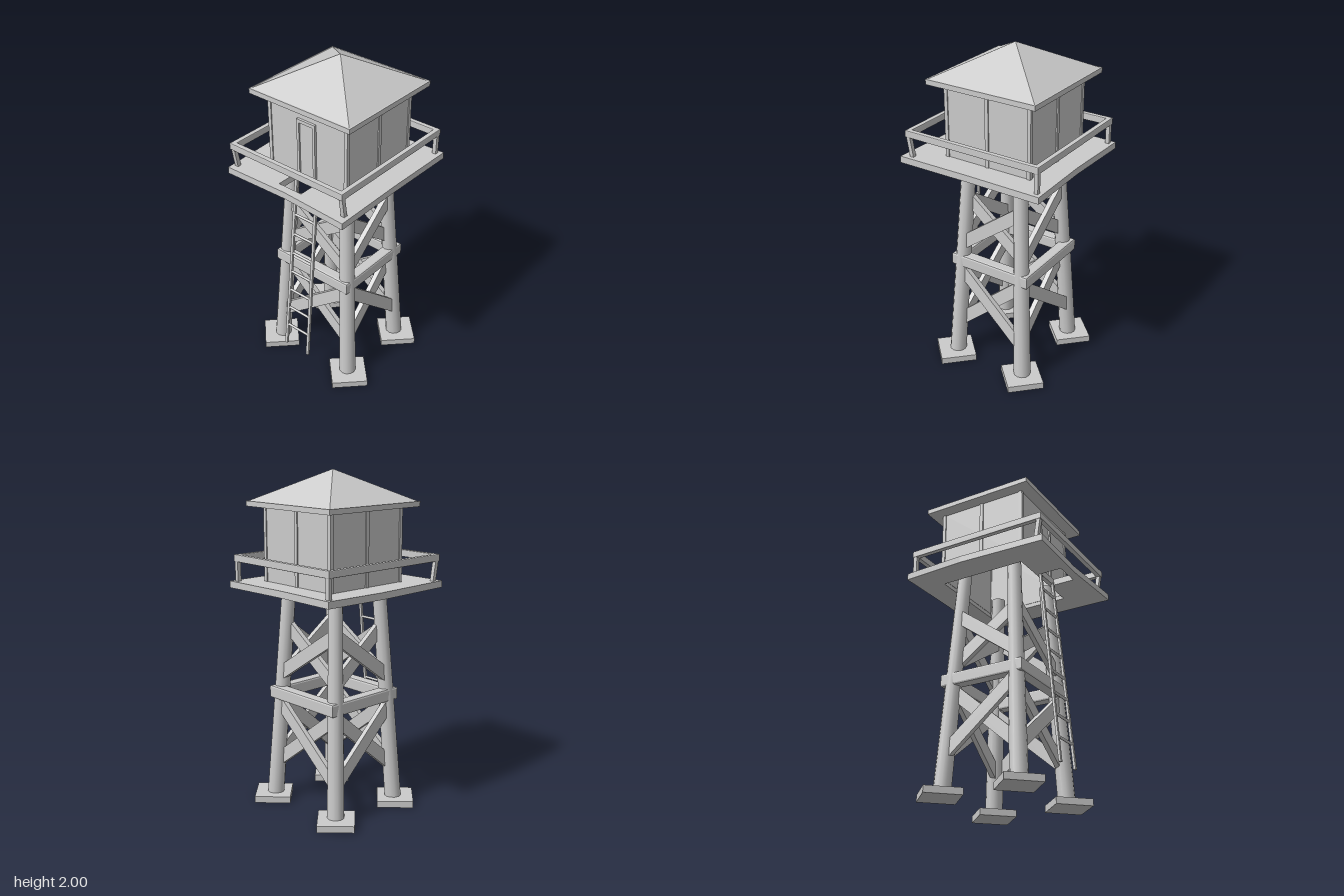
import * as THREE from 'three';

const CZ = -0.03; // the tower's middle line in z
const material = new THREE.MeshStandardMaterial({ color: 0xcccccc });
const flat = new THREE.MeshStandardMaterial({ color: 0xcccccc, flatShading: true });
const UP = new THREE.Vector3(0, 1, 0);
const V = (x, y, z) => new THREE.Vector3(x, y, z);

function add(parent, name, geometry, x = 0, y = 0, z = 0, mat = material) {
  const mesh = new THREE.Mesh(geometry, mat);
  mesh.name = name;
  mesh.position.set(x, y, z);
  parent.add(mesh);
  return mesh;
}

function box(parent, name, w, h, d, x, y, z) {
  return add(parent, name, new THREE.BoxGeometry(w, h, d), x, y, z);
}

// Stretch a y-aligned geometry of unit length between two points
function span(parent, name, a, b, makeGeometry) {
  const dir = b.clone().sub(a);
  const mid = a.clone().add(b).multiplyScalar(0.5);
  const mesh = add(parent, name, makeGeometry(dir.length()), mid.x, mid.y, mid.z);
  mesh.quaternion.setFromUnitVectors(UP, dir.normalize());
  return mesh;
}

// Centre of a leg at height y; legs lean inward
function legAt(sx, sz, y) {
  const t = y / 1.33;
  return V(sx * (0.271 - 0.074 * t), y, CZ + sz * (0.241 - 0.068 * t));
}

const points = (list) => list.map(([x, z]) => new THREE.Vector2(x, z));
const rect = (hx, hz, cz = 0) =>
  points([[-hx, cz - hz], [hx, cz - hz], [hx, cz + hz], [-hx, cz + hz]]);

// Mitred rectangular ring with softened edges
function ring(parent, name, hx, hz, y, cz, h, w) {
  const r = Math.min(h, w) * 0.16;
  const shape = new THREE.Shape(rect(hx, hz));
  shape.holes.push(new THREE.Path(rect(hx - w, hz - w)));
  const geometry = new THREE.ExtrudeGeometry(shape, {
    depth: h - 2 * r, bevelThickness: r, bevelSize: r, bevelOffset: -r, bevelSegments: 2,
  });
  geometry.translate(0, 0, r - h / 2);
  geometry.rotateX(Math.PI / 2);
  add(parent, name, geometry, 0, y, cz);
}

function buildTower() {
  const g = new THREE.Group();
  g.name = 'tower';
  for (const sx of [-1, 1]) for (const sz of [-1, 1]) {
    span(g, 'leg', legAt(sx, sz, 0.02), legAt(sx, sz, 1.38),
      (l) => new THREE.CylinderGeometry(0.041, 0.051, l, 12));
    // Footings are set diagonally, corners pointing along x and z
    const foot = box(g, 'footing', 0.216, 0.04, 0.216, sx * 0.28, 0.02, CZ + sz * 0.246);
    foot.rotation.y = Math.PI / 4;
  }
  ring(g, 'belt', 0.274, 0.264, 0.685, CZ - 0.004, 0.078, 0.07);

  // Crossed boards on all four sides, two tiers; the front board alternates
  for (const [lo, hi, tier] of [[0.245, 0.625, 1], [0.8, 1.09, -1]]) {
    for (const s of [-1, 1]) for (const d of [-1, 1]) {
      const off = d * s * tier * 0.014;
      const a = legAt(-d, s, lo), b = legAt(d, s, hi);
      a.z += off; b.z += off;
      span(g, 'brace', a, b, (l) => new THREE.BoxGeometry(0.077, l, 0.03));
      const c = legAt(s, -d, lo), e = legAt(s, d, hi);
      c.x += off; e.x += off;
      span(g, 'brace', c, e, (l) => new THREE.BoxGeometry(0.03, l, 0.077));
    }
  }
  return g;
}

function buildDeck() {
  const g = new THREE.Group();
  g.name = 'balcony';
  // Slightly bowed walkway around the cabin, with a hatch for the ladder
  const shape = new THREE.Shape(points([[-0.42, -0.462], [0, -0.45], [0.425, -0.462],
    [0.42, 0], [0.425, 0.458], [0, 0.435], [-0.415, 0.447], [-0.437, -0.08]]));
  shape.holes.push(new THREE.Path(rect(0.08, 0.066, 0.321)));
  shape.holes.push(new THREE.Path(rect(0.265, 0.265, -0.037)));
  const floor = new THREE.ExtrudeGeometry(shape, { depth: 0.04, bevelEnabled: false });
  floor.rotateX(Math.PI / 2);
  add(g, 'floor', floor, 0, 1.357, 0);

  ring(g, 'handrail', 0.403, 0.438, 1.492, -0.005, 0.042, 0.03);
  for (const sx of [-1, 1]) for (const sz of [-1, 1]) {
    const z = -0.005 + sz * 0.423;
    span(g, 'railPost', V(sx * 0.387, 1.35, sz > 0 ? 0.395 : z), V(sx * 0.388, 1.49, z),
      (l) => new THREE.BoxGeometry(0.024, l, 0.024));
  }
  return g;
}

function buildCabin() {
  const g = new THREE.Group();
  g.name = 'cabin';
  const cz = -0.037, half = 0.275;
  // Hollow walls, open underneath
  ring(g, 'walls', half, half, 1.572, cz, 0.46, 0.012);
  // Corner posts and mid-wall battens
  for (const s of [-1, 1]) {
    for (const t of [-1, 1]) {
      box(g, 'cornerPost', 0.022, 0.45, 0.022, s * 0.27, 1.578, cz + t * 0.27);
    }
    box(g, 'batten', 0.014, 0.45, 0.022, s * half, 1.578, cz);
  }
  box(g, 'batten', 0.022, 0.45, 0.014, 0, 1.578, cz - half);

  // Door and frame
  const fz = cz + half;
  box(g, 'door', 0.1, 0.34, 0.01, 0, 1.525, fz);
  for (const s of [-1, 1]) box(g, 'doorJamb', 0.016, 0.355, 0.03, s * 0.056, 1.532, fz);
  box(g, 'doorLintel', 0.128, 0.02, 0.03, 0, 1.7, fz);

  // Pyramid roof over a thin eave
  box(g, 'eave', 0.7, 0.03, 0.7, 0, 1.805, cz);
  const roof = new THREE.ConeGeometry(0.345 * Math.SQRT2, 0.182, 4);
  roof.rotateY(Math.PI / 4);
  add(g, 'roof', roof, 0, 1.909, cz, flat);
  return g;
}

function buildLadder() {
  const g = new THREE.Group();
  g.name = 'ladder';
  const zAt = (y) => 0.362 - (y - 0.155) * 0.095;
  const xAt = (y) => 0.086 - (y - 0.155) * 0.01;
  const midAt = (y) => -0.008 * (1.36 - y); // slight sideways lean
  for (const s of [-1, 1]) {
    const [a, b] = [0.155, 1.36].map((y) => V(midAt(y) + s * xAt(y), y, zAt(y)));
    span(g, 'ladderRail', a, b, (l) => new THREE.BoxGeometry(0.018, l, 0.014));
  }
  for (let i = 0; i < 8; i++) {
    const y = 0.3 + i * 0.132;
    const rung = add(g, 'rung', new THREE.CylinderGeometry(0.008, 0.008, 2 * xAt(y), 8),
      midAt(y), y, zAt(y));
    rung.rotation.z = Math.PI / 2;
  }
  return g;
}

export function createModel() {
  const model = new THREE.Group();
  model.name = 'lookoutTower';
  model.add(buildTower(), buildDeck(), buildCabin(), buildLadder());
  return model;
}
